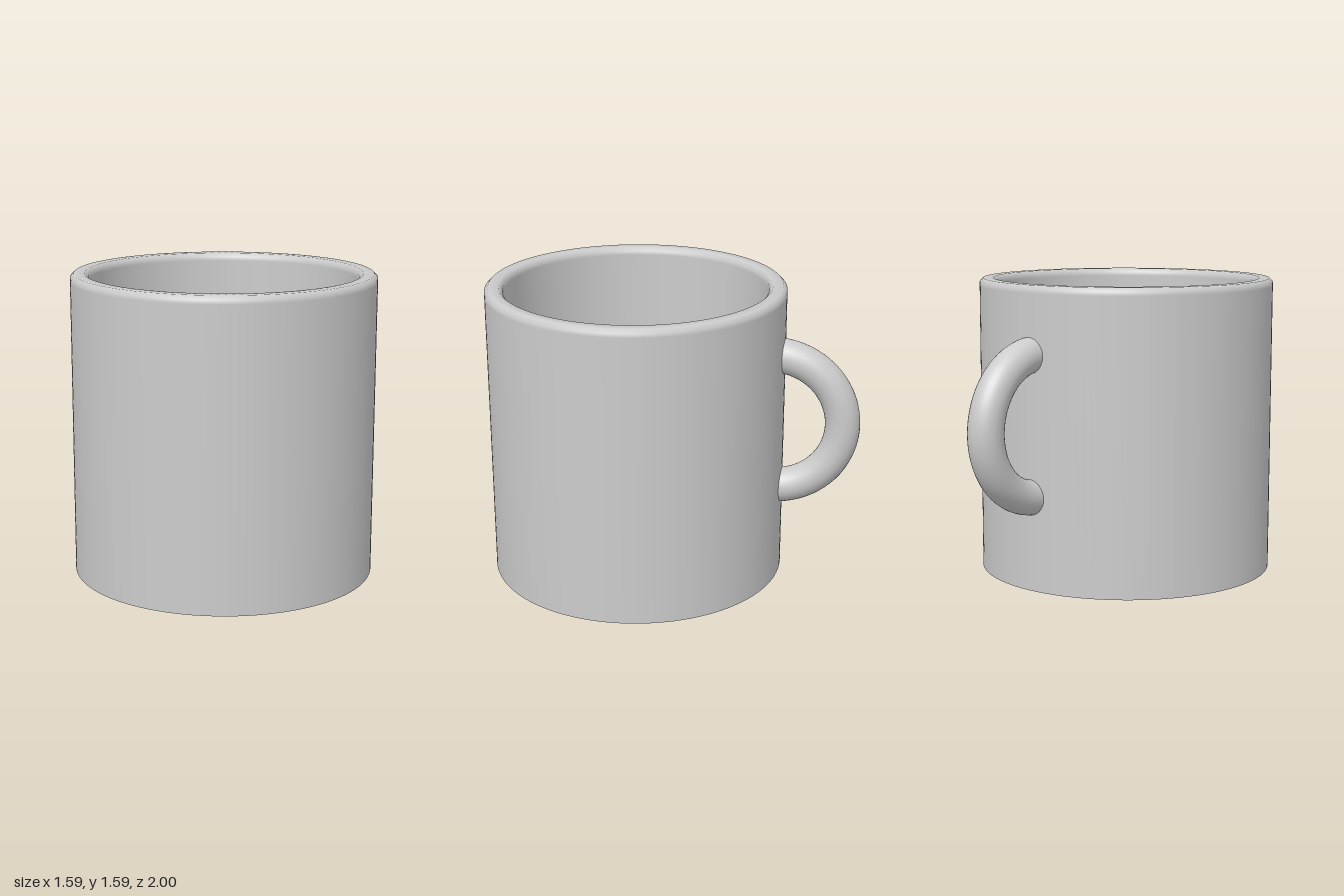
import * as THREE from 'three';
import { toCreasedNormals } from 'three/addons/utils/BufferGeometryUtils.js';

const RADIUS = 0.795, INNER = 0.7, HEIGHT = 1.59, FLOOR = 0.1, BEVEL = 0.02;
const BODY_Z = 0.205;

export function createModel() {
  const mug = new THREE.Group();
  mug.name = 'mug';
  const material = new THREE.MeshStandardMaterial({ color: 0xcccccc });

  // Cup: one closed wall profile, from the base up the outside, over the rim and down to the inner floor
  const profile = [
    [0, 0],
    [RADIUS, 0],
    [RADIUS, HEIGHT - 2 * BEVEL],
    [RADIUS, HEIGHT - BEVEL],
    [RADIUS - BEVEL, HEIGHT],
    [INNER + BEVEL, HEIGHT],
    [INNER, HEIGHT - BEVEL],
    [INNER, HEIGHT - 2 * BEVEL],
    [INNER, FLOOR],
    [0, FLOOR],
  ].map(([r, y]) => new THREE.Vector2(r, y));
  const cup = new THREE.Mesh(toCreasedNormals(new THREE.LatheGeometry(profile, 128), 1), material);
  cup.name = 'cup';
  cup.position.z = BODY_Z;
  mug.add(cup);

  // Handle: half ring at the back, its ends sunk into the wall
  const ring = new THREE.TorusGeometry(0.372, 0.093, 32, 64, Math.PI);
  ring.rotateZ(-Math.PI / 2).rotateY(Math.PI / 2);
  const handle = new THREE.Mesh(ring, material);
  handle.name = 'handle';
  handle.position.set(0, 0.865, -0.535);
  mug.add(handle);

  return mug;
}
